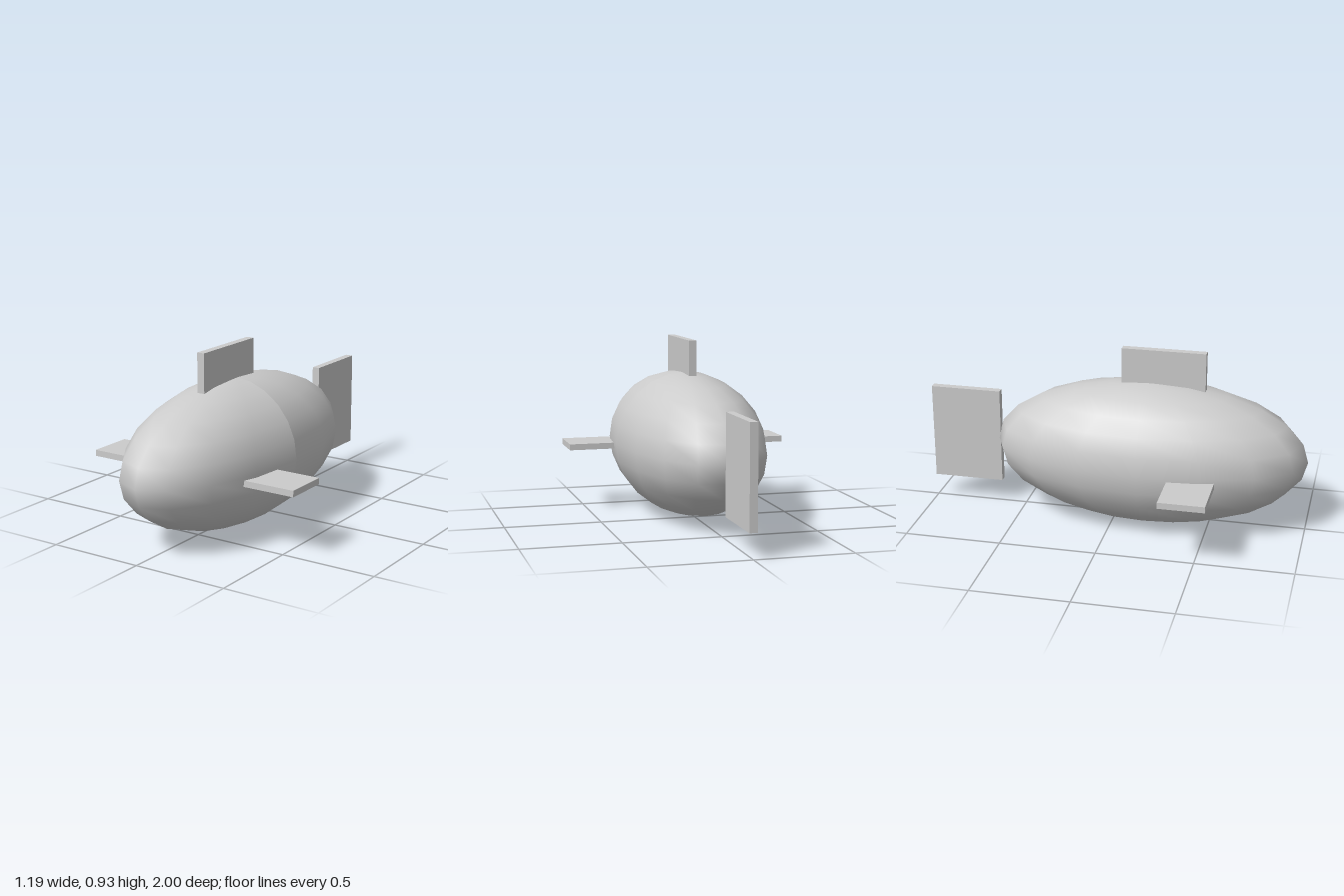
import * as THREE from 'three';

export function createModel() {
  const model = new THREE.Group();
  model.name = 'finnedBody';
  const material = new THREE.MeshStandardMaterial({ color: 0xcccccc });

  const add = (name, geometry, x, y, z) => {
    const mesh = new THREE.Mesh(geometry, material);
    mesh.name = name;
    mesh.position.set(x, y, z);
    model.add(mesh);
  };

  // Ellipsoid body; recomputed normals keep the seam on the left flank
  const body = new THREE.SphereGeometry(1, 16, 12);
  body.rotateY(Math.PI);
  body.scale(0.375, 0.375, 0.82);
  body.computeVertexNormals();
  add('body', body, 0, 0.375, 0.178);

  // Upright fins: one on the back, one at the tail
  add('dorsalFin', new THREE.BoxGeometry(0.04, 0.23, 0.435), 0, 0.81, 0.247);
  add('tailFin', new THREE.BoxGeometry(0.04, 0.51, 0.373), 0, 0.38, -0.813);

  // Flat side fins, sunk into the body
  for (const side of [1, -1]) {
    add(side > 0 ? 'leftFin' : 'rightFin',
      new THREE.BoxGeometry(0.317, 0.032, 0.235), side * 0.4385, 0.344, 0.447);
  }
  return model;
}
